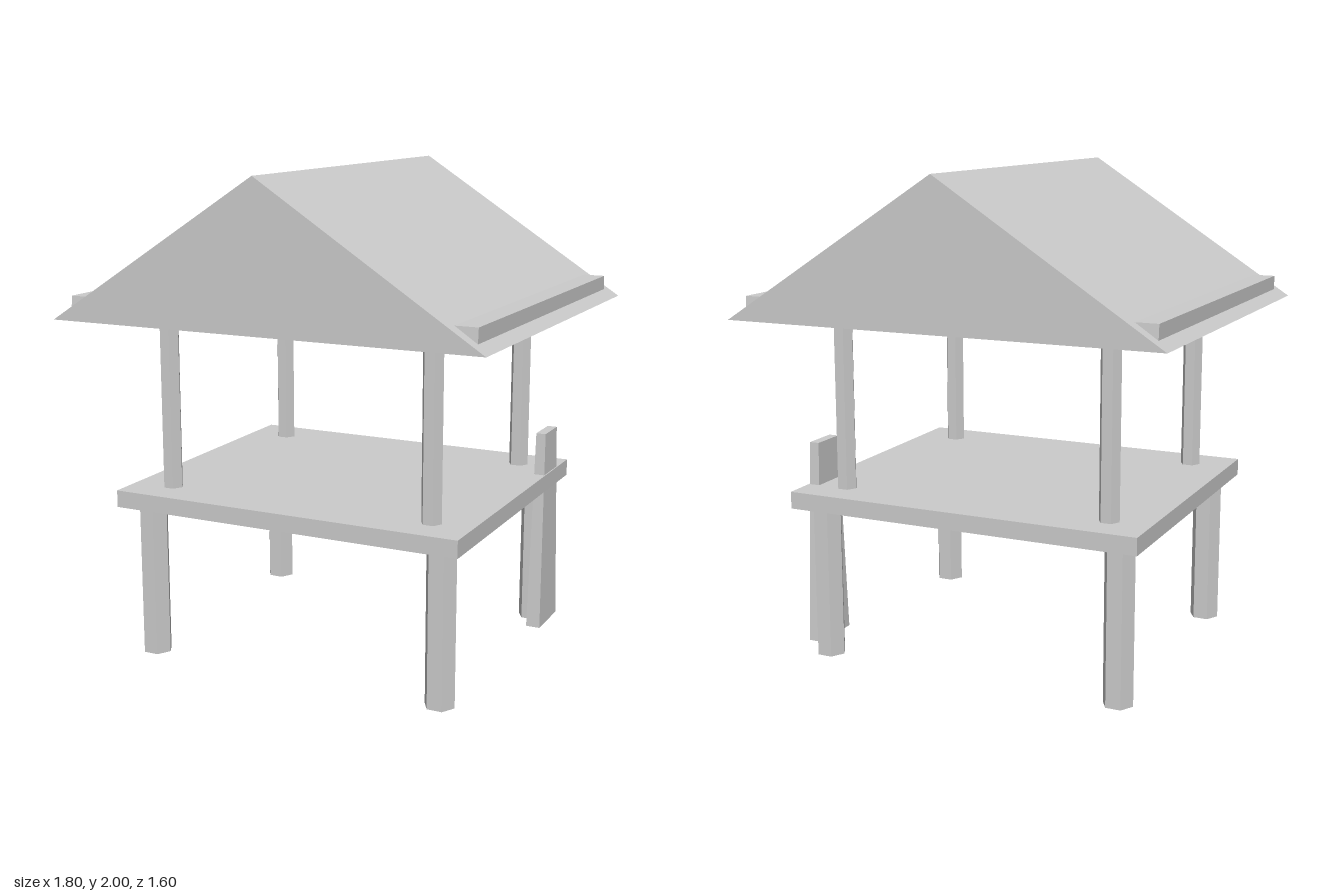
import * as THREE from 'three';

const material = new THREE.MeshStandardMaterial({ color: 0xcccccc, flatShading: true });

export function createModel() {
  const model = new THREE.Group();

  const add = (name, geometry, x = 0, y = 0, z = 0) => {
    const mesh = new THREE.Mesh(geometry, material);
    mesh.name = name;
    mesh.position.set(x, y, z);
    model.add(mesh);
    return mesh;
  };

  // Hexagonal post with its corners pointing along x
  const hexPost = (name, radius, bottom, top, x, z) => {
    const height = top - bottom;
    const geometry = new THREE.CylinderGeometry(radius, radius, height, 6, 1, false, Math.PI / 2);
    add(name, geometry, x, bottom + height / 2, z);
  };

  // Box whose top face is scaled down in x and z
  const taperedBox = (width, height, depth, scaleX, scaleZ) => {
    const geometry = new THREE.BoxGeometry(width, height, depth);
    const p = geometry.attributes.position;
    for (let i = 0; i < p.count; i++) {
      if (p.getY(i) > 0) {
        p.setX(i, p.getX(i) * scaleX);
        p.setZ(i, p.getZ(i) * scaleZ);
      }
    }
    geometry.computeVertexNormals();
    return geometry;
  };

  // Raised deck
  add('deck', new THREE.BoxGeometry(1.49, 0.07, 1.28), 0, 0.67, 0);

  // Thick legs below the deck, thin posts above it
  for (const sx of [-1, 1]) {
    for (const sz of [-1, 1]) {
      hexPost('leg', 0.062, 0, 0.65, sx * 0.64, sz * 0.535);
      hexPost('roofPost', 0.042, 0.69, 1.43, sx * 0.575, sz * 0.483);
    }
  }

  // Solid gable roof
  const gable = new THREE.Shape([
    new THREE.Vector2(-0.9, 1.42),
    new THREE.Vector2(0.9, 1.42),
    new THREE.Vector2(0, 2),
  ]);
  add('roof', new THREE.ExtrudeGeometry(gable, { depth: 1.6, bevelEnabled: false }), 0, 0, -0.8);

  // Eave beams half sunk into the roof slopes
  for (const sx of [-1, 1]) {
    add('eaveBeam', taperedBox(0.11, 0.06, 1.5, 1, 0.993), sx * 0.795, 1.48, 0);
  }

  // Tapered access plank at the left edge
  add('accessPlank', taperedBox(0.06, 0.85, 0.218, 0.68, 0.68), 0.718, 0.457, -0.425);

  return model;
}
